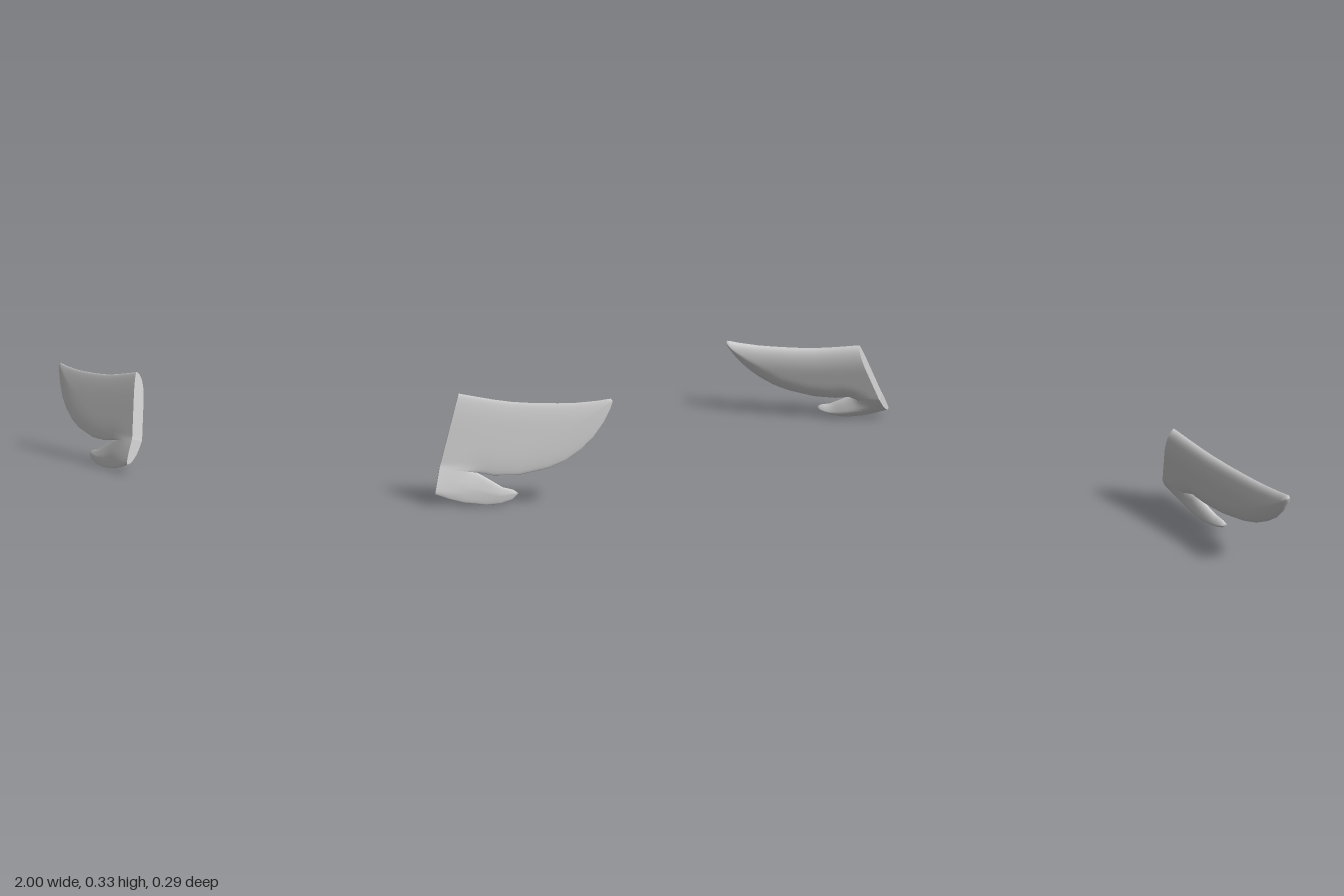
import * as THREE from 'three';
import { mergeVertices } from 'three/addons/utils/BufferGeometryUtils.js';

// Paired stations from the inner end to the tip: [x, lowerY, x, upperY]
const BLADE = [
  [0.54, 0.11, 0.57, 0.326], [0.585, 0.1, 0.61, 0.319], [0.645, 0.095, 0.67, 0.309],
  [0.69, 0.087, 0.72, 0.303], [0.76, 0.089, 0.78, 0.3], [0.84, 0.11, 0.85, 0.3],
  [0.885, 0.132, 0.9, 0.302], [0.925, 0.165, 0.935, 0.306], [0.955, 0.2, 0.96, 0.309],
  [0.98, 0.245, 0.98, 0.313], [0.995, 0.285, 0.993, 0.315], [1, 0.308, 1, 0.308],
];
const LOBE = [
  [0.542, 0.033, 0.54, 0.11], [0.58, 0.018, 0.585, 0.1], [0.62, 0.007, 0.645, 0.095],
  [0.68, 0, 0.69, 0.07], [0.72, 0.005, 0.72, 0.053], [0.75, 0.017, 0.75, 0.046],
  [0.766, 0.036, 0.766, 0.036],
];
const NOTCH = 2; // station where blade and lobe part
const ROWS = 18;

// Free edges of the fin, where its thickness runs out
const lower = (s) => s.map((p) => [p[0], p[1]]);
const upper = (s) => s.map((p) => [p[2], p[3]]);
const EDGES = [upper(BLADE), lower(BLADE).slice(NOTCH), lower(LOBE), upper(LOBE).slice(NOTCH)];

function edgeDistance(x, y) {
  let best = Infinity;
  for (const line of EDGES) {
    for (let i = 0; i + 1 < line.length; i++) {
      const [ax, ay] = line[i];
      const dx = line[i + 1][0] - ax, dy = line[i + 1][1] - ay;
      const len2 = dx * dx + dy * dy || 1;
      const t = THREE.MathUtils.clamp(((x - ax) * dx + (y - ay) * dy) / len2, 0, 1);
      best = Math.min(best, Math.hypot(x - ax - dx * t, y - ay - dy * t));
    }
  }
  return best;
}

// Slanted fin plane, swept back outward and forward toward the bottom inner corner
const NORMAL = new THREE.Vector3(0.407, 0.28, 1).normalize();
function surfacePoint(x, y, front) {
  const flare = THREE.MathUtils.clamp((0.66 - x) / 0.12, 0, 1) * THREE.MathUtils.clamp((0.115 - y) / 0.08, 0, 1);
  const z = 0.03 - 0.407 * (x - 0.57) + 0.28 * (0.31 - y) + 0.022 * flare;
  const k = 1 - Math.min(edgeDistance(x, y) / 0.08, 1);
  const swell = Math.sqrt(1 - k * k) * (front ? 0.008 : -0.034);
  return new THREE.Vector3(x, y, z).addScaledVector(NORMAL, swell);
}

// Grid of points over one strip; columns run outward, rows run upward
function grid(stations, front) {
  const columns = [];
  const steps = (stations.length - 1) * 2;
  for (let i = 0; i <= steps; i++) {
    const a = stations[Math.floor(i / 2)], b = stations[Math.ceil(i / 2)];
    const [lx, ly, ux, uy] = a.map((v, n) => (v + b[n]) / 2);
    const column = [];
    for (let j = 0; j <= ROWS; j++) {
      const v = (1 - Math.cos((Math.PI * j) / ROWS)) / 2;
      column.push(surfacePoint(lx + (ux - lx) * v, ly + (uy - ly) * v, front));
    }
    columns.push(column);
  }
  return columns;
}

// Turns point grids into one smooth geometry; flip reverses the facing
function skin(grids, side) {
  const positions = [], indices = [];
  for (const { columns, flip } of grids) {
    const base = positions.length / 3;
    const n = columns[0].length;
    for (const c of columns) for (const p of c) positions.push(side * p.x, p.y, p.z);
    for (let i = 0; i + 1 < columns.length; i++) {
      for (let j = 0; j + 1 < n; j++) {
        const a = base + i * n + j, b = a + n, c = b + 1, d = a + 1;
        if (flip !== side < 0) indices.push(a, c, b, a, d, c);
        else indices.push(a, b, c, a, c, d);
      }
    }
  }
  let geometry = new THREE.BufferGeometry();
  geometry.setAttribute('position', new THREE.Float32BufferAttribute(positions, 3));
  geometry.setIndex(indices);
  geometry = mergeVertices(geometry, 1e-5);
  geometry.computeVertexNormals();
  return geometry;
}

function createFin(side, material) {
  const fin = new THREE.Group();
  fin.name = side > 0 ? 'leftFin' : 'rightFin';
  const patches = [BLADE, LOBE].flatMap((stations) => [true, false].map((front) => (
    { columns: grid(stations, front), flip: !front, front }
  )));

  const blade = new THREE.Mesh(skin(patches, side), material);
  blade.name = 'forkedBlade';

  // Flat face closing the inner end
  const innerEdge = (front) => {
    const [top, bottom] = patches.filter((p) => p.front === front).map((p) => p.columns[0]);
    return [...bottom, ...top.slice(1)];
  };
  const cap = new THREE.Mesh(skin([{ columns: [innerEdge(false), innerEdge(true)], flip: false }], side), material);
  cap.name = 'innerEndFace';

  fin.add(blade, cap);
  return fin;
}

export function createModel() {
  const model = new THREE.Group();
  model.name = 'finPair';
  const material = new THREE.MeshStandardMaterial({ color: 0xcccccc });
  for (const side of [1, -1]) model.add(createFin(side, material));
  return model;
}
